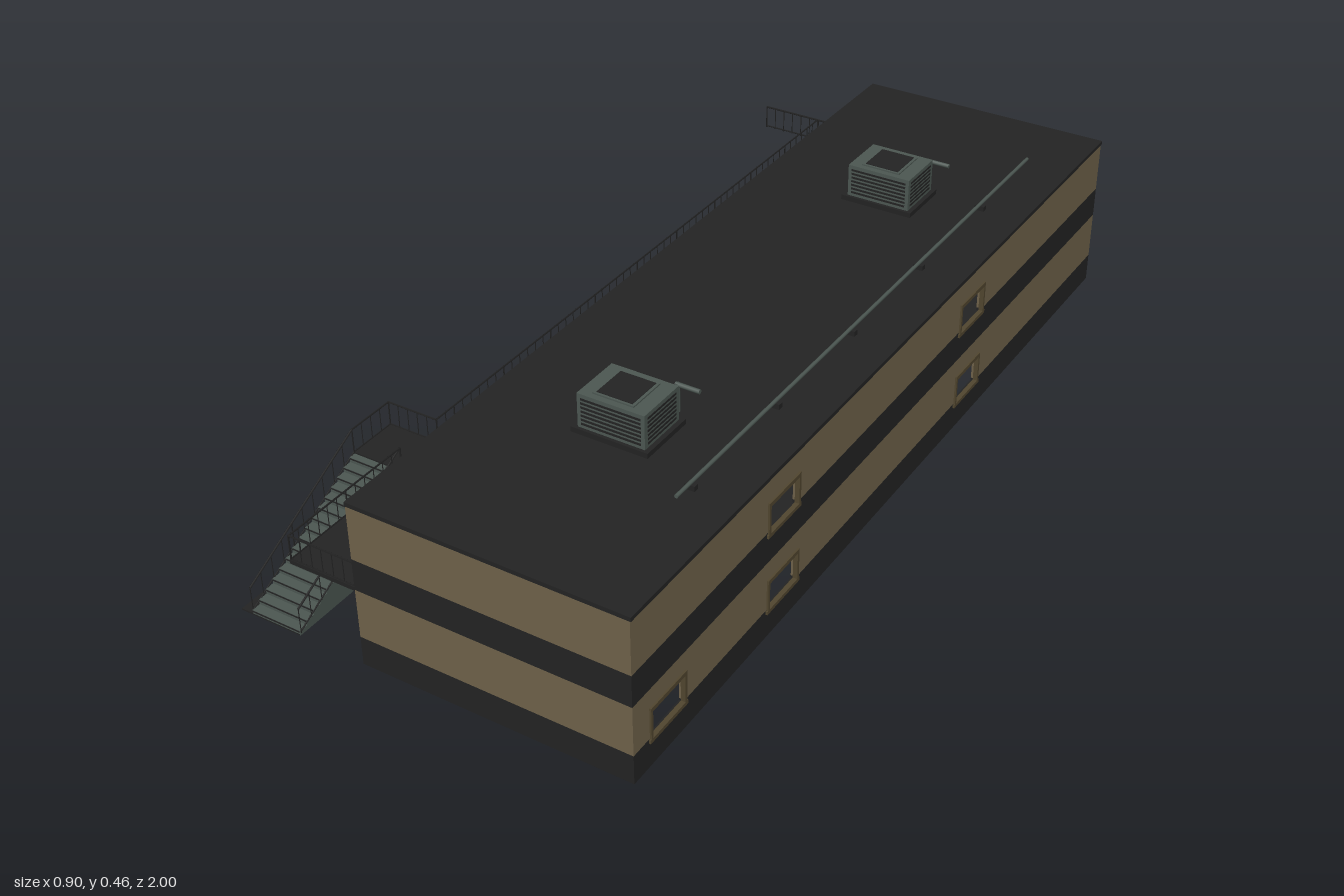
import * as THREE from 'three';

const mat = (name, color) => {
  const m = new THREE.MeshStandardMaterial({ color });
  m.name = name;
  return m;
};

export function createModel() {
  const tan = mat('tan plaster', 0x6f624a);
  const dark = mat('dark trim', 0x232323);
  const metal = mat('grey green metal', 0x4c5752);
  const frameMat = mat('window frame brown', 0x51462f);
  const light = mat('pale fittings', 0x8f8f88);
  const root = new THREE.Group();
  root.name = 'twoStoreyLodge';

  const group = (name, parent = root) => {
    const g = new THREE.Group();
    g.name = name;
    parent.add(g);
    return g;
  };
  // Box given by its minimum and maximum corners
  const box = (parent, name, m, x0, x1, y0, y1, z0, z1) => {
    const b = new THREE.Mesh(new THREE.BoxGeometry(x1 - x0, y1 - y0, z1 - z0), m);
    b.position.set((x0 + x1) / 2, (y0 + y1) / 2, (z0 + z1) / 2);
    b.name = name;
    parent.add(b);
    return b;
  };
  // Square bar between two points
  const bar = (parent, name, m, a, b, r = 0.002, sides = 4) => {
    const p = new THREE.Vector3(...a), q = new THREE.Vector3(...b);
    const d = q.clone().sub(p);
    const c = new THREE.Mesh(new THREE.CylinderGeometry(r, r, d.length(), sides), m);
    c.position.copy(p).add(q).multiplyScalar(0.5);
    c.quaternion.setFromUnitVectors(new THREE.Vector3(0, 1, 0), d.normalize());
    c.name = name;
    parent.add(c);
  };

  const XL = -0.152, XR = 0.445, T = 0.012;
  const bands = [[0, 0.065, dark], [0.065, 0.175, tan], [0.175, 0.245, dark], [0.245, 0.362, tan]];
  const units = [-0.8, -0.4, 0, 0.4, 0.8];
  const floors = [0, 0.178];
  const isOpen = (c, f) => [-0.4, 0.4].includes(c) || (f === 0 && c === 0.8);

  // Openings are [z0, z1, y0, y1]
  const leftHoles = [], rightHoles = [], closed = [];
  floors.forEach((y, f) => units.forEach(c => {
    const door = [c + 0.075, c + 0.16, y, y + 0.132];
    const win = [c - 0.14, c - 0.04, y + 0.064, y + 0.128];
    if (isOpen(c, f)) {
      leftHoles.push(door, win);
      rightHoles.push([c + 0.036, c + 0.146, y + 0.06, y + 0.132]);
    } else closed.push(door, win);
  }));

  // Banded long wall, split around its openings
  const longWall = (name, x0, x1, holes) => {
    const g = group(name);
    for (const [y0, y1, m] of bands) {
      const hs = holes.filter(h => h[2] < y1 && h[3] > y0);
      const cuts = [...new Set([-1, 1, ...hs.flatMap(h => [h[0], h[1]])])].sort((a, b) => a - b);
      for (let i = 0; i < cuts.length - 1; i++) {
        const mid = (cuts[i] + cuts[i + 1]) / 2;
        const h = hs.find(k => k[0] < mid && k[1] > mid);
        const put = (a, b) => b - a > 1e-4 && box(g, 'wallPanel', m, x0, x1, a, b, cuts[i], cuts[i + 1]);
        if (!h) put(y0, y1);
        else { put(y0, h[2]); put(h[3], y1); }
      }
    }
  };
  longWall('walkwayWall', XL, XL + T, leftHoles);
  longWall('rearLongWall', XR - T, XR, rightHoles);

  // End walls with the same bands
  for (const s of [-1, 1]) {
    const g = group(s > 0 ? 'frontWall' : 'backWall');
    for (const [y0, y1, m] of bands)
      box(g, 'wallBand', m, XL, XR, y0, y1, s > 0 ? 1 - T : -1, s > 0 ? 1 : -1 + T);
  }

  // Roof, upper floor, closed ground floors, room dividers
  box(root, 'roof', dark, XL - 0.002, XR + 0.002, 0.362, 0.371, -1, 1);
  box(root, 'upperFloor', dark, XL + T, XR - T, 0.166, 0.178, -1 + T, 1 - T);
  for (const c of [-0.8, 0])
    box(root, 'groundFloor', dark, XL + T, XR - T, 0.001, 0.006, c - 0.2, c + 0.2);
  for (const z of [-0.6, -0.2, 0.2, 0.6])
    box(root, 'roomDivider', tan, XL + T, XR - T, 0.001, 0.362, z - 0.005, z + 0.005);

  // Opening surrounds
  const surround = (x0, x1, [z0, z1, y0, y1], sill) => {
    const g = group('openingFrame'), w = 0.007;
    box(g, 'frameTop', frameMat, x0, x1, y1 - w, y1 + 0.002, z0 - 0.003, z1 + 0.003);
    if (sill) box(g, 'frameSill', frameMat, x0, x1, y0 - 0.004, y0 + 0.004, z0 - 0.006, z1 + 0.006);
    for (const z of [z0 - 0.003, z1 - 0.003])
      box(g, 'frameSide', frameMat, x0, x1, y0, y1, z, z + 0.006);
  };
  [...leftHoles, ...closed].forEach(h => surround(XL - 0.004, XL + 0.006, h, h[1] - h[0] > 0.09));
  rightHoles.forEach(h => surround(XR - 0.006, XR + 0.004, h, true));
  for (const [z0, z1, y0, y1] of closed)
    box(root, 'closedPanel', dark, XL - 0.002, XL + 0.004, y0, y1, z0, z1);

  // Wall lamps beside the open doors
  for (const z of [-0.365, 0.43])
    for (const y of floors) box(root, 'wallLamp', light, XL - 0.012, XL, y + 0.14, y + 0.152, z - 0.012, z + 0.012);

  // Room furniture
  floors.forEach((y, f) => units.filter(c => isOpen(c, f)).forEach(c => {
    const g = group('roomFurniture');
    for (const x of [0.0, 0.15]) {
      box(g, 'bed', frameMat, x, x + 0.09, y + 0.012, y + 0.036, c - 0.185, c - 0.03);
      box(g, 'headboard', dark, x, x + 0.09, y + 0.01, y + 0.06, c - 0.194, c - 0.186);
    }
    box(g, 'dresser', dark, 0.02, 0.12, y + 0.004, y + 0.045, c + 0.16, c + 0.19);
    box(g, 'bathPartition', tan, 0.29, 0.298, y + 0.002, y + 0.166, c - 0.195, c + 0.03);
    box(g, 'basin', light, 0.33, 0.38, y + 0.03, y + 0.05, c - 0.19, c - 0.14);
    box(g, 'toilet', light, 0.32, 0.35, y + 0.004, y + 0.03, c - 0.08, c - 0.04);
  }));

  // Walkway, landing and ground strip
  box(root, 'walkwayDeck', dark, -0.305, XL, 0.172, 0.181, -1, 1);
  box(root, 'stairLanding', dark, -0.425, -0.305, 0.172, 0.181, 0.56, 0.675);
  box(root, 'groundStrip', dark, -0.45, -0.305, 0, 0.003, -1, 1);

  // Railings
  const rail = (name, a, b, n) => {
    const g = group(name), H = 0.057;
    const up = (p, h) => [p[0], p[1] + h, p[2]];
    bar(g, 'handRail', dark, up(a, H), up(b, H), 0.0026);
    bar(g, 'lowerRail', dark, up(a, 0.004), up(b, 0.004), 0.002);
    for (let i = 0; i <= n; i++) {
      const p = a.map((v, k) => v + (b[k] - v) * i / n);
      bar(g, 'baluster', dark, p, up(p, H), i % 6 ? 0.0013 : 0.002);
    }
  };
  const D = 0.178;
  rail('walkwayRail', [-0.303, D, -0.998], [-0.303, D, 0.56], 56);
  rail('walkwayRailByStair', [-0.303, D, 0.675], [-0.303, D, 0.998], 12);
  rail('backEndRail', [-0.45, D, -0.997], [XL, D, -0.997], 12);
  rail('frontEndRail', [-0.303, D, 0.997], [XL, D, 0.997], 6);
  rail('landingBackRail', [-0.423, D, 0.562], [-0.303, D, 0.562], 5);
  rail('landingSideRail', [-0.423, D, 0.562], [-0.423, D, 0.675], 4);
  for (const x of [-0.423, -0.304]) rail('stairRail', [x, D, 0.675], [x, 0.005, 0.997], 10);

  // Solid stair flight, stepped side profile extruded across its width
  const steps = 16, profile = new THREE.Shape();
  profile.moveTo(0.67, 0);
  for (let i = 0; i < steps; i++) {
    const y = 0.178 * (1 - i / steps);
    profile.lineTo(0.67 + 0.33 * i / steps, y);
    profile.lineTo(0.67 + 0.33 * (i + 1) / steps, y);
  }
  profile.lineTo(1, 0);
  const flight = new THREE.Mesh(
    new THREE.ExtrudeGeometry(profile, { depth: 0.118, bevelEnabled: false }), metal);
  flight.rotation.y = -Math.PI / 2;
  flight.position.x = -0.304;
  flight.name = 'stairFlight';
  root.add(flight);
  for (let i = 0; i < steps; i++) {
    const y = 0.178 * (1 - i / steps), z = 0.67 + 0.33 * (i + 1) / steps;
    box(root, 'stepNosing', dark, -0.421, -0.305, y - 0.004, y - 0.001, z - 0.002, z + 0.001);
  }

  // Rooftop cooling units with gooseneck vents
  for (const z of [0.55, -0.5]) {
    const g = group('coolingUnit');
    box(g, 'curb', dark, 0.062, 0.231, 0.37, 0.382, z - 0.065, z + 0.065);
    box(g, 'casing', metal, 0.074, 0.221, 0.382, 0.456, z - 0.058, z + 0.058);
    box(g, 'fanRim', metal, 0.1, 0.19, 0.456, 0.459, z - 0.045, z + 0.045);
    box(g, 'fanOpening', dark, 0.106, 0.184, 0.456, 0.46, z - 0.04, z + 0.04);
    for (let i = 0; i < 7; i++) {
      const y = 0.389 + i * 0.009;
      box(g, 'louvre', dark, 0.082, 0.213, y, y + 0.0045, z + 0.057, z + 0.059);
      box(g, 'louvreSide', dark, 0.22, 0.2218, y, y + 0.0045, z - 0.048, z + 0.048);
    }
    const pz = z - 0.093;
    bar(g, 'ventPipe', metal, [0.196, 0.37, pz], [0.196, 0.434, pz], 0.005, 8);
    bar(g, 'ventOutlet', metal, [0.192, 0.431, pz], [0.245, 0.431, pz], 0.005, 8);
  }

  // Long roof pipe on supports
  bar(root, 'roofPipe', metal, [0.345, 0.385, -0.8], [0.345, 0.385, 0.7], 0.004, 8);
  for (let z = 0.65; z > -0.8; z -= 0.3)
    box(root, 'pipeSupport', dark, 0.334, 0.356, 0.37, 0.382, z - 0.006, z + 0.006);

  return root;
}
